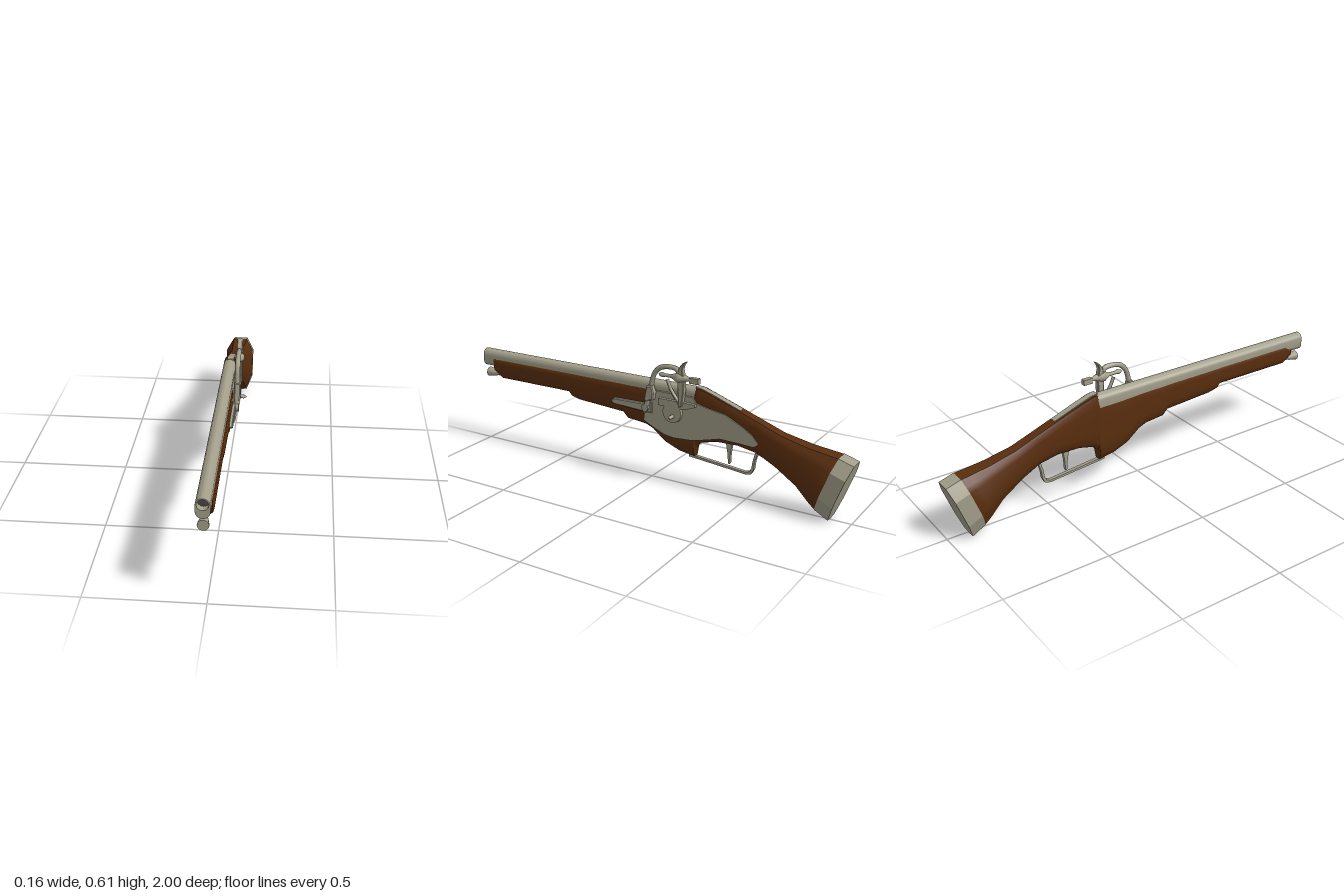
import * as THREE from 'three';
import { toCreasedNormals } from 'three/addons/utils/BufferGeometryUtils.js';

const CX = -0.01; // centre line of stock and barrel
const LX = 0.04;  // plane of the lock's moving parts

const mat = (name, color) => {
  const m = new THREE.MeshStandardMaterial({ color });
  m.name = name;
  return m;
};

// Half cross-sections from bottom centre to top centre: [share of half width, share of height]
const SLIM = [[0, 0], [0.5, 0.03], [0.85, 0.14], [1, 0.34], [1, 0.78], [0.97, 0.93], [0.8, 1], [0, 1]];
const BUTT = [[0, 0], [0.57, 0.02], [0.8, 0.16], [1, 0.29], [1, 0.78], [0.78, 0.88], [0.5, 1], [0, 1]];

// Loft through stations [topZ, topY, bottomZ, bottomY, halfWidth, blend from SLIM to BUTT]
function loft(stations, crease) {
  const pos = [], index = [];
  const n = 14;
  for (const [tz, ty, bz, by, w, k] of stations) {
    for (let j = 0; j < n; j++) {
      const i = j < 8 ? j : n - j;
      const u = THREE.MathUtils.lerp(SLIM[i][0], BUTT[i][0], k) * (j < 8 ? 1 : -1);
      const v = THREE.MathUtils.lerp(SLIM[i][1], BUTT[i][1], k);
      pos.push(CX + u * w, by + (ty - by) * v, bz + (tz - bz) * v);
    }
  }
  const last = (stations.length - 1) * n;
  for (let s = 0; s < last; s += n) {
    for (let j = 0; j < n; j++) {
      const a = s + j, b = s + (j + 1) % n;
      index.push(a, a + n, b, b, a + n, b + n);
    }
  }
  for (let j = 1; j < n - 1; j++) {
    index.push(0, j, j + 1, last, last + j + 1, last + j);
  }
  const g = new THREE.BufferGeometry();
  g.setAttribute('position', new THREE.Float32BufferAttribute(pos, 3));
  g.setIndex(index);
  return toCreasedNormals(g.toNonIndexed(), crease);
}

// Side profile of [z, y] points, extruded across x from x0 to x1
function plate(points, x0, x1, bevel = 0) {
  const shape = new THREE.Shape(points.map(([z, y]) => new THREE.Vector2(-z, y)));
  const g = new THREE.ExtrudeGeometry(shape, {
    depth: x1 - x0 - 2 * bevel, bevelEnabled: bevel > 0, bevelSize: bevel,
    bevelThickness: bevel, bevelOffset: -bevel, bevelSegments: 1,
  });
  return g.rotateY(Math.PI / 2).translate(x0 + bevel, 0, 0);
}

// Rod through [z, y] points in the plane x
function rod(points, x, radius, sides = 8) {
  const curve = new THREE.CatmullRomCurve3(points.map(([z, y]) => new THREE.Vector3(x, y, z)));
  return new THREE.TubeGeometry(curve, points.length * 5, radius, sides);
}

// Turned part: [radius, distance] profile running towards -z or +x
const turned = (profile, sides = 12) =>
  new THREE.LatheGeometry(profile.map(([r, d]) => new THREE.Vector2(r, d)), sides);

export function createModel() {
  const model = new THREE.Group();
  model.name = 'wheellockPistol';
  const wood = mat('walnutWood', 0x5a2e0e);
  const metal = mat('agedSteel', 0xa29e8a);
  const dark = mat('boreShadow', 0x4a4740);
  const add = (name, geometry, material = metal) => {
    const mesh = new THREE.Mesh(geometry, material);
    mesh.name = name;
    model.add(mesh);
    return mesh;
  };

  // Stock: stepped fore-end, deep lock belly, curved wrist and flared butt
  const fore = [[0.935, 0.377], [0.89, 0.345], [0.47, 0.345], [0.455, 0.324], [0.41, 0.313], [0.155, 0.297],
    [0.13, 0.27], [0.03, 0.26], [-0.01, 0.243], [-0.075, 0.19], [-0.155, 0.158], [-0.232, 0.147]]
    .map(([z, y]) => [z, 0.445, z, y, z > 0.9 ? 0.029 : 0.032, 0]);
  const rear = [
    [-0.242, 0.486, -0.237, 0.2, 0.032, 0],
    [-0.265, 0.484, -0.26, 0.222, 0.032, 0.1],
    [-0.33, 0.462, -0.34, 0.243, 0.032, 0.2],
    [-0.43, 0.427, -0.45, 0.248, 0.032, 0.3],
    [-0.56, 0.38, -0.545, 0.233, 0.034, 0.4],
    [-0.66, 0.343, -0.636, 0.19, 0.04, 0.6],
    [-0.79, 0.315, -0.74, 0.126, 0.053, 0.8],
    [-0.88, 0.303, -0.8, 0.07, 0.066, 1],
    [-0.93, 0.297, -0.835, 0.04, 0.07, 1],
  ];
  add('stock', loft([...fore, ...rear], 0.8), wood);
  add('buttCap', loft([[-0.93, 0.298, -0.835, 0.039, 0.071, 1], [-1, 0.277, -0.9, 0.002, 0.071, 1]], 0.3));

  // Barrel: round top over a lower rib, bored at the muzzle
  const section = new THREE.Shape();
  section.absarc(0, 0.459, 0.029, 0, Math.PI, false);
  section.lineTo(-0.029, 0.425);
  section.absarc(0, 0.428, 0.029, Math.PI, Math.PI * 2, false);
  section.closePath();
  const bore = new THREE.Path();
  bore.absarc(0, 0.459, 0.0235, 0, Math.PI * 2, true);
  section.holes.push(bore);
  const barrel = new THREE.ExtrudeGeometry(section, { depth: 1.24, bevelEnabled: false, curveSegments: 10 });
  add('barrel', toCreasedNormals(barrel.translate(-0.012, 0, -0.24), 0.6));
  add('boreEnd', new THREE.CircleGeometry(0.0237, 20).translate(-0.012, 0.459, 0.97), dark);
  add('breechPlug', new THREE.CylinderGeometry(0.0237, 0.0237, 0.02, 16).rotateX(Math.PI / 2)
    .translate(-0.012, 0.459, -0.229));

  // Ramrod with a flared tip
  const ramrod = turned([[0, 0], [0.012, 0], [0.012, 0.06], [0.016, 0.075], [0.024, 0.115], [0.024, 0.12], [0, 0.12]]);
  add('ramrod', toCreasedNormals(ramrod.rotateX(Math.PI / 2).translate(-0.012, 0.363, 0.87), 0.7));

  // Tang lying on the wrist behind the barrel
  const tang = [[-0.235, 0.491], [-0.265, 0.488], [-0.33, 0.467], [-0.46, 0.42], [-0.46, 0.41], [-0.33, 0.455], [-0.235, 0.475]];
  add('tang', plate(tang.reverse(), CX - 0.014, CX + 0.018));

  // Lock plate let into the left side
  add('lockPlate', plate([[0.03, 0.29], [-0.02, 0.265], [-0.08, 0.24], [-0.13, 0.232], [-0.23, 0.238], [-0.3, 0.255],
    [-0.37, 0.274], [-0.46, 0.272], [-0.54, 0.268], [-0.56, 0.288], [-0.53, 0.322], [-0.48, 0.352], [-0.395, 0.393],
    [-0.3, 0.408], [-0.25, 0.42], [-0.23, 0.445], [-0.01, 0.445], [0.015, 0.39]], 0.014, 0.0275));
  add('cockSpring', plate([[0.03, 0.335], [-0.02, 0.335], [-0.02, 0.385], [0.03, 0.375], [0.19, 0.372],
    [0.21, 0.36], [0.19, 0.342]].reverse(), 0.015, 0.037, 0.004));

  // Wheel, its winding spindle and the pan above it
  const acrossX = (g, x, y, z) => g.rotateZ(-Math.PI / 2).translate(x, y, z);
  add('wheel', acrossX(new THREE.CylinderGeometry(0.048, 0.05, 0.022, 20), 0.031, 0.358, -0.13));
  add('windingSpindle', acrossX(turned([[0, 0], [0.009, 0], [0.009, 0.03], [0.0, 0.044]], 8), 0.036, 0.342, -0.135));
  add('pan', plate([[-0.06, 0.385], [-0.2, 0.385], [-0.25, 0.405], [-0.25, 0.418], [-0.06, 0.418]], 0.018, 0.044));

  // Cock: curved arm on a pivot
  add('cockArm', rod([[0.015, 0.34], [0, 0.39], [-0.018, 0.46], [-0.04, 0.535], [-0.075, 0.567], [-0.15, 0.572],
    [-0.172, 0.55]], LX, 0.012));
  add('cockCollar', plate([[0.012, 0.395], [-0.035, 0.405], [-0.04, 0.44], [-0.03, 0.475], [-0.002, 0.47]].reverse(),
    0.026, 0.057, 0.005));
  add('cockPivot', acrossX(new THREE.CylinderGeometry(0.018, 0.018, 0.032, 10), 0.034, 0.36, 0.01));
  add('pivotNub', new THREE.SphereGeometry(0.009, 8, 6).translate(0.05, 0.405, -0.005));

  // Jaws: hooked upper jaw and a slanting strut reaching the pan
  add('hookedJaw', plate([[-0.205, 0.612], [-0.188, 0.604], [-0.17, 0.58], [-0.162, 0.54], [-0.165, 0.48],
    [-0.17, 0.395], [-0.186, 0.4], [-0.196, 0.47], [-0.198, 0.53], [-0.188, 0.575], [-0.194, 0.595]].reverse(),
    0.027, 0.053, 0.003));
  add('jawStrut', rod([[-0.105, 0.515], [-0.125, 0.47], [-0.175, 0.405]], LX, 0.008, 6));

  // Jaw screw with a bulged collar and a square head
  const screw = turned([[0, 0], [0.007, 0.005], [0.012, 0.02], [0.008, 0.035], [0.009, 0.07], [0.024, 0.1],
    [0.024, 0.112], [0.012, 0.15], [0.008, 0.165], [0.008, 0.2]], 10);
  add('jawScrew', screw.rotateX(-Math.PI / 2).translate(LX, 0.533, -0.06));
  add('screwHead', new THREE.BoxGeometry(0.022, 0.026, 0.045).translate(LX, 0.53, -0.247));

  // Trigger and guard
  add('trigger', plate([[-0.388, 0.255], [-0.42, 0.255], [-0.412, 0.2], [-0.41, 0.152], [-0.402, 0.152],
    [-0.398, 0.2]].reverse(), CX - 0.008, CX + 0.008));
  const outer = [[-0.2, 0.145], [-0.35, 0.132], [-0.49, 0.119], [-0.518, 0.126], [-0.53, 0.15], [-0.535, 0.19], [-0.55, 0.24]];
  const inner = [[-0.538, 0.242], [-0.524, 0.19], [-0.519, 0.155], [-0.51, 0.137], [-0.488, 0.13], [-0.35, 0.143], [-0.2, 0.157]];
  add('triggerGuard', plate([...outer, ...inner], CX - 0.009, CX + 0.009));

  return model;
}
